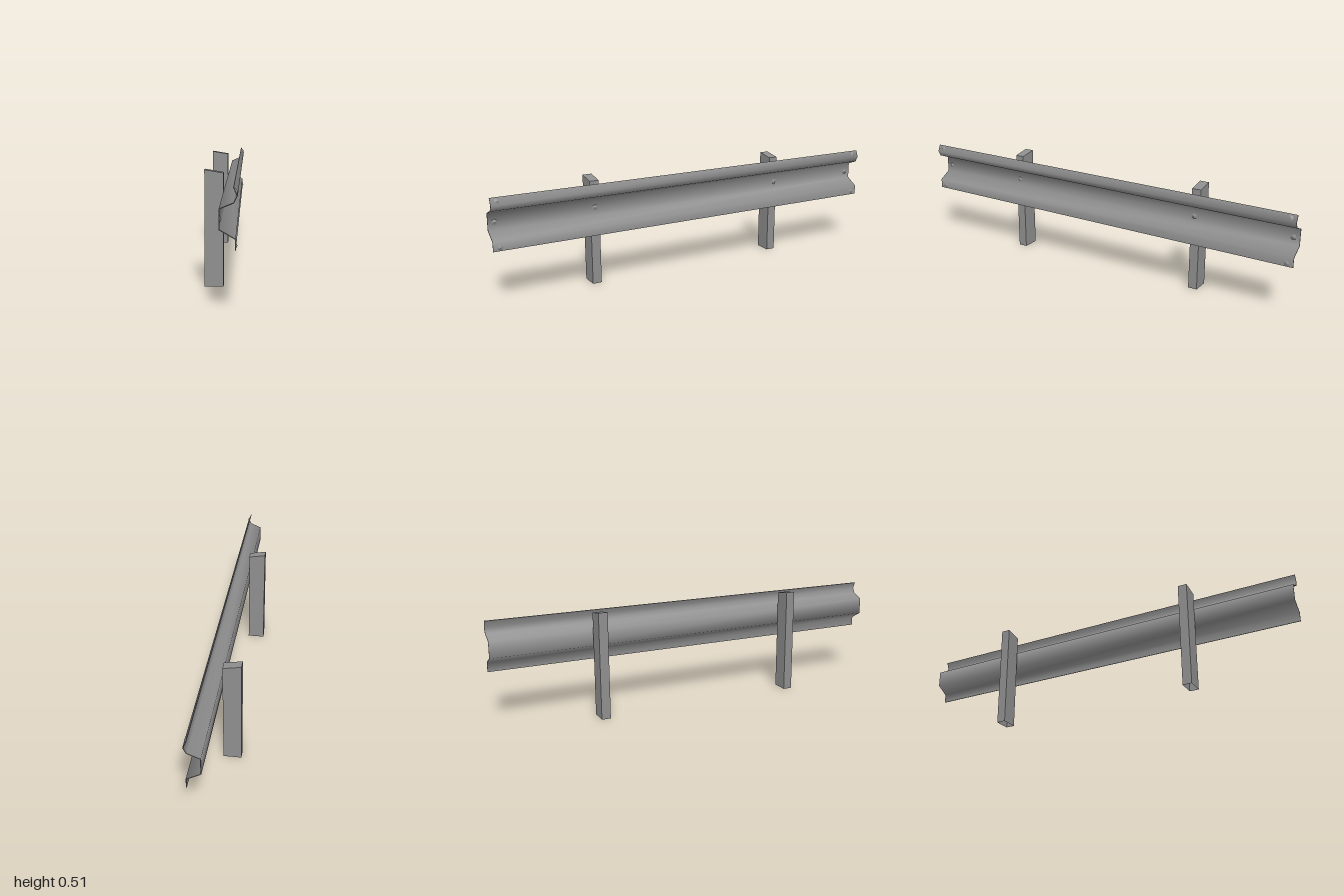
import * as THREE from 'three';
import { toCreasedNormals } from 'three/addons/utils/BufferGeometryUtils.js';

const steel = new THREE.MeshStandardMaterial({ color: 0x8f8f8f, side: THREE.DoubleSide });
steel.name = 'galvanised steel grey';

// Rail cross-section, top lip to bottom lip, on the outer (+x) side
const PROFILE = [
  [0.066, 0.493], [0.080, 0.460], [0.066, 0.433], [0.013, 0.411],
  [0.013, 0.335], [0.073, 0.300], [0.073, 0.255],
].map(([x, y]) => new THREE.Vector2(x, y));

// Mitred offset of an open polyline toward the posts
function offsetLine(points, distance) {
  const normal = (a, b) => new THREE.Vector2(a.y - b.y, b.x - a.x).normalize();
  return points.map((p, i) => {
    const n1 = normal(points[Math.max(i - 1, 0)], points[Math.max(i, 1)]);
    const last = points.length - 1;
    const n2 = normal(points[Math.min(i, last - 1)], points[Math.min(i + 1, last)]);
    const m = n1.clone().add(n2).normalize();
    return p.clone().addScaledVector(m, -distance / m.dot(n1));
  });
}

// Thin folded sheet with soft bends and sharp rims
function makeRail() {
  const shape = new THREE.Shape([...PROFILE, ...offsetLine(PROFILE, 0.003).reverse()]);
  const geometry = new THREE.ExtrudeGeometry(shape, { depth: 2, bevelEnabled: false });
  geometry.translate(0, 0, -1);
  const rail = new THREE.Mesh(toCreasedNormals(geometry, 1.3), steel);
  rail.name = 'rail';
  return rail;
}

// Post with a sloping top and an open foot
function makePost(backX, frontX, z) {
  const geometry = new THREE.BoxGeometry(1, 1, 0.044).toNonIndexed();
  const p = geometry.attributes.position;
  for (let i = 0; i < p.count; i++) {
    const front = p.getX(i) > 0;
    p.setXY(i, front ? frontX : backX, p.getY(i) < 0 ? 0 : front ? 0.495 : 0.509);
  }
  // Drop the bottom face (fourth of the six box sides)
  const keep = [];
  for (let i = 0; i < 36; i++) if (i < 18 || i >= 24) keep.push(i);
  geometry.setIndex(keep);
  geometry.clearGroups();
  geometry.computeVertexNormals();
  const post = new THREE.Mesh(geometry, steel);
  post.position.z = z;
  post.name = 'post';
  return post;
}

// Low domed bolt head whose axis leans by tilt from +x
function makeBolt(x, y, z, tilt) {
  const geometry = new THREE.ConeGeometry(0.013, 0.006, 8);
  geometry.translate(0, 0.003, 0);
  geometry.rotateZ(-Math.PI / 2 + tilt);
  const bolt = new THREE.Mesh(geometry, steel);
  bolt.position.set(x, y, z);
  bolt.name = 'bolt';
  return bolt;
}

export function createModel() {
  const model = new THREE.Group();
  model.name = 'guardrail';
  model.add(makeRail(), makePost(-0.071, 0.011, 0.5), makePost(-0.082, 0.0, -0.5));

  const bolts = new THREE.Group();
  bolts.name = 'bolts';
  for (const side of [-1, 1]) {
    bolts.add(
      makeBolt(0.013, 0.37, side * 0.5, 0),
      makeBolt(0.013, 0.37, side * 0.97, 0),
      makeBolt(0.073, 0.27, side * 0.97, 0),
      makeBolt(0.073, 0.476, side * 0.97, 0.4),
    );
  }
  model.add(bolts);
  return model;
}
